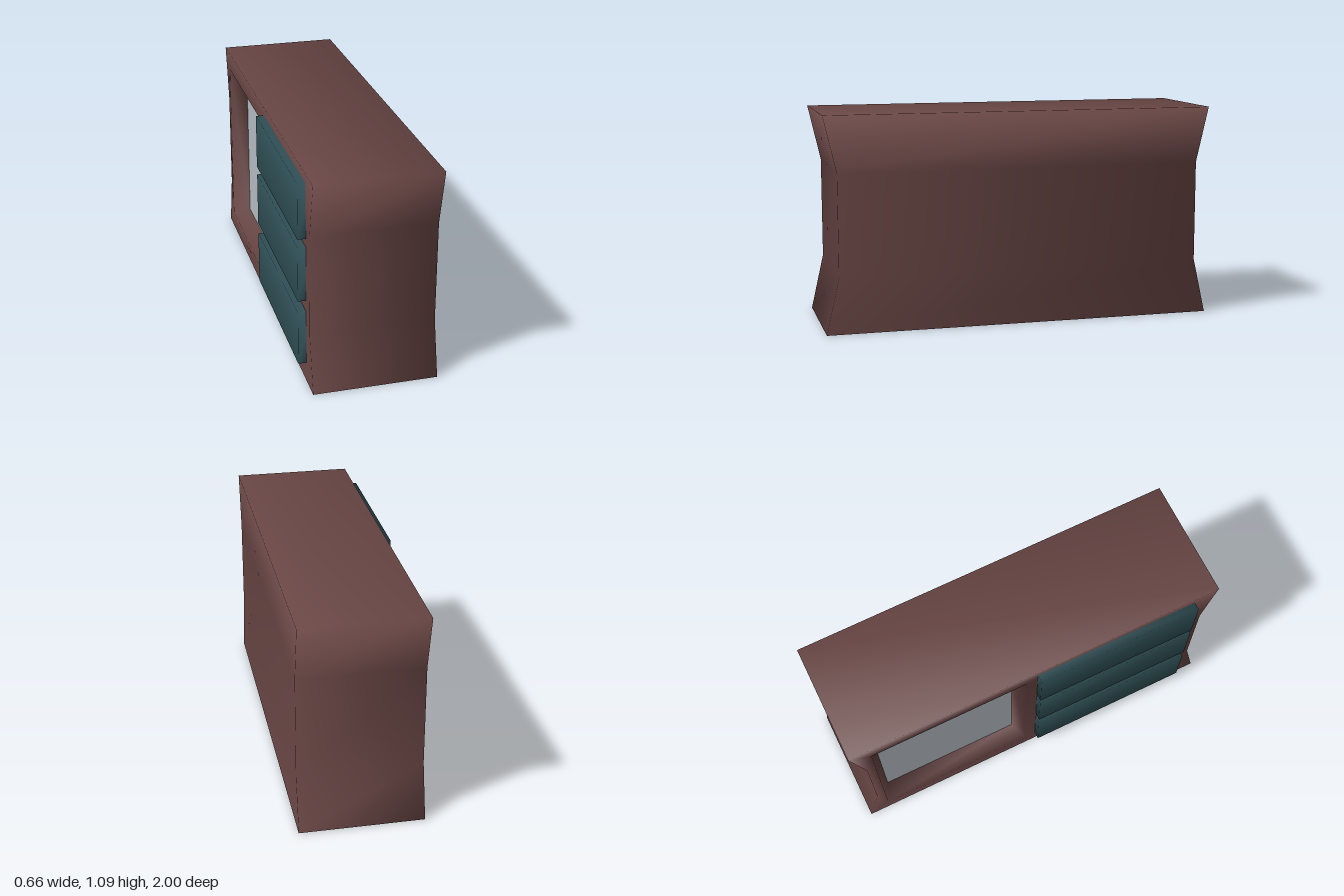
import * as THREE from 'three';
import { mergeVertices } from 'three/addons/utils/BufferGeometryUtils.js';

const LEFT = 0.33, RIGHT = -0.29;
// half-depth of the cabinet at each height (waisted ends)
const LEVELS = [[0, 1], [0.285, 0.935], [0.8, 0.935], [1.085, 1]];

// welded vertices give soft shading across the edges
function soften(geometry) {
  geometry.deleteAttribute('normal');
  geometry.deleteAttribute('uv');
  const welded = mergeVertices(geometry);
  welded.computeVertexNormals();
  return welded;
}

// rectangle in the side wall, counter-clockwise seen from outside
const rect = (x, z0, z1, y0, y1) => [[x, y0, z0], [x, y0, z1], [x, y1, z1], [x, y1, z0]];

function cabinetGeometry(outer, inner) {
  const pos = [];
  const quad = (a, b, c, d) => pos.push(...a, ...b, ...c, ...a, ...c, ...d);
  const rings = LEVELS.map(([y, z]) => [[RIGHT, y, z], [LEFT, y, z], [LEFT, y, -z], [RIGHT, y, -z]]);

  // front, plain side and back; the underside stays open
  for (let i = 0; i < 3; i++) {
    for (let j = 0; j < 3; j++) {
      quad(rings[i][j], rings[i][j + 1], rings[i + 1][j + 1], rings[i + 1][j]);
    }
  }
  quad(...rings[3]); // top

  // side wall with the cupboard opening
  const edge = [
    ...LEVELS.map(([y, z]) => new THREE.Vector2(z, y)),
    ...LEVELS.map(([y, z]) => new THREE.Vector2(-z, y)).reverse(),
  ];
  const wall = new THREE.Shape(edge);
  wall.holes.push(new THREE.Path(outer.map(([, y, z]) => new THREE.Vector2(z, y))));
  const flat = new THREE.ShapeGeometry(wall).toNonIndexed().attributes.position;
  for (let i = 0; i < flat.count; i++) pos.push(RIGHT, flat.getY(i), flat.getX(i));

  // bevelled recess
  for (let i = 0; i < 4; i++) {
    const k = (i + 1) % 4;
    quad(outer[i], outer[k], inner[k], inner[i]);
  }
  const geometry = new THREE.BufferGeometry();
  geometry.setAttribute('position', new THREE.Float32BufferAttribute(pos, 3));
  return soften(geometry);
}

// box without its inner face
function drawerGeometry(w, h, d) {
  const box = new THREE.BoxGeometry(w, h, d);
  box.setIndex(Array.from(box.index.array).slice(6));
  return soften(box);
}

export function createModel() {
  const group = new THREE.Group();
  const material = (name, color) => {
    const m = new THREE.MeshStandardMaterial({ color, side: THREE.DoubleSide });
    m.name = name;
    return m;
  };
  const brown = material('brownWood', 0x684644);
  const teal = material('darkTeal', 0x305157);
  const pale = material('paleGrey', 0xb4bbc2);
  const add = (name, geometry, mat) => {
    const mesh = new THREE.Mesh(geometry, mat);
    mesh.name = name;
    group.add(mesh);
    return mesh;
  };

  const outer = rect(RIGHT, -0.89, -0.06, 0.09, 0.99);
  const inner = rect(-0.2, -0.85, -0.1, 0.12, 0.96);
  add('cabinet', cabinetGeometry(outer, inner), brown);

  // pale panel closing the recess
  const panel = add('recessPanel', new THREE.PlaneGeometry(0.75, 0.84), pale);
  panel.rotation.y = -Math.PI / 2;
  panel.position.set(-0.2, 0.54, -0.475);

  // three drawers
  const drawer = drawerGeometry(0.075, 0.28, 0.87);
  [0.24, 0.58, 0.903].forEach((y, i) => {
    add(`drawer${i + 1}`, drawer, teal).position.set(-0.2925, y, 0.435);
  });
  return group;
}
